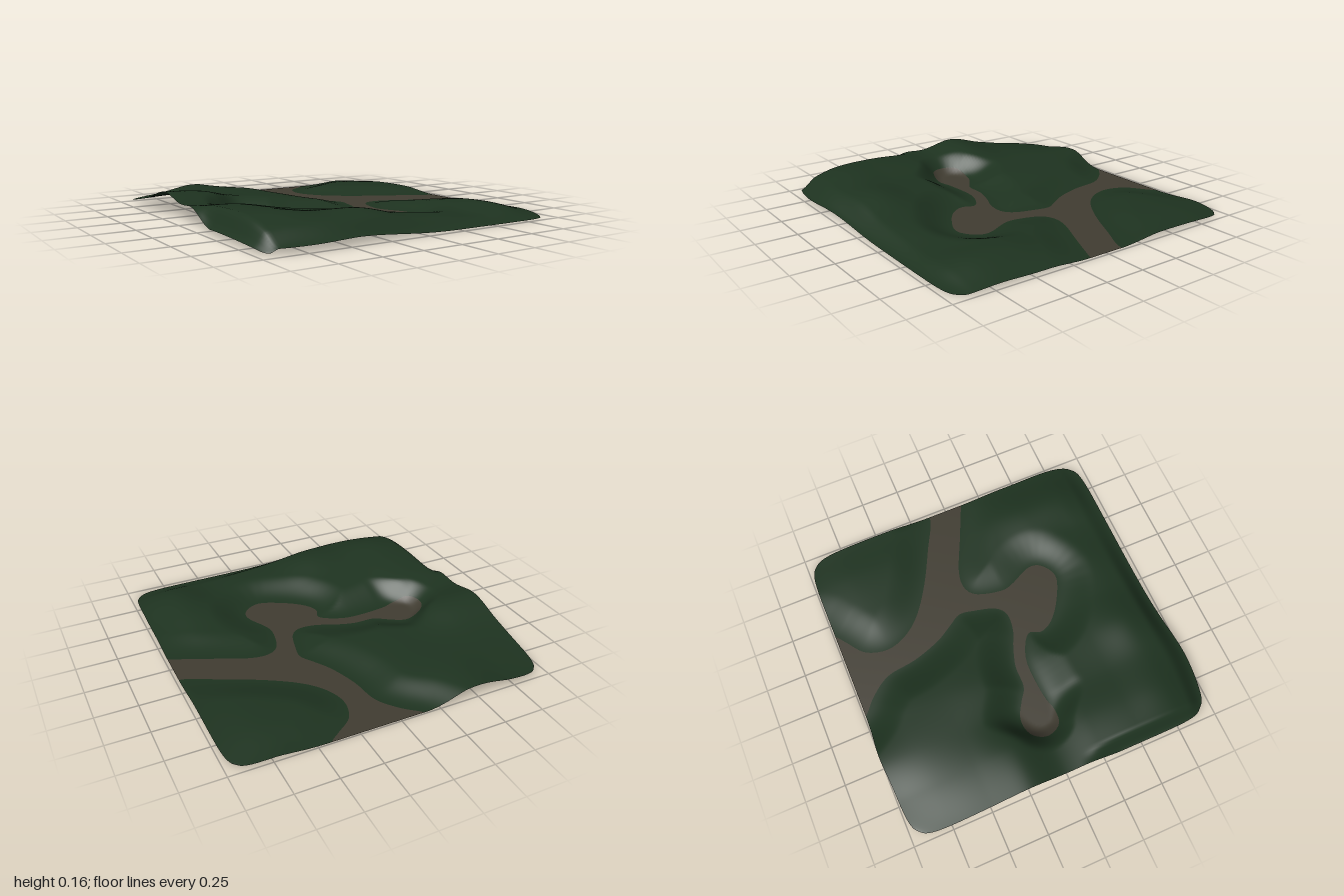
import * as THREE from 'three';
import { mergeVertices } from 'three/addons/utils/BufferGeometryUtils.js';

const GRID = 120;
const { smoothstep, clamp, lerp } = THREE.MathUtils;

// Hill heights in hundredths: rows run back to front, columns from -x to +x
const HILLS = [
  [2, 4, 8, 5, 1, 1, 2, 2, 0.5],
  [5, 7, 8.5, 7, 4, 3, 4, 4, 2],
  [10, 10, 8.5, 7.5, 5, 4, 4, 4, 2.5],
  [16, 14.5, 9, 7.5, 5, 4, 4, 3, 2],
  [12, 10.5, 7.5, 6, 4.5, 4, 3, 2, 1],
  [14, 13.5, 9.5, 7, 5, 4, 4, 4, 1.5],
  [15, 15, 11.5, 9.5, 6.5, 5, 6, 7, 1.5],
  [13, 15, 13.5, 13.5, 8.5, 6.5, 4.5, 7, 2],
  [7, 8, 10, 9, 7, 4.5, 3, 2, 0],
];

// Outline of the forked path with its two round clearings (x, z)
const PATH = [
  [-0.22, -1.1], [-0.15, -0.99], [-0.05, -0.9], [0.04, -0.77], [0.07, -0.58], [0.13, -0.4],
  [0.2, -0.28], [0.245, -0.2], [0.23, -0.1], [0.19, 0.03], [0.12, 0.085], [0.005, 0.075],
  [-0.1, 0.03], [-0.23, -0.01], [-0.365, -0.015], [-0.445, -0.065], [-0.55, -0.12],
  [-0.667, -0.105], [-0.72, -0.015], [-0.68, 0.08], [-0.577, 0.1], [-0.47, 0.075],
  [-0.26, 0.065], [-0.14, 0.095], [-0.05, 0.16], [-0.075, 0.24], [-0.03, 0.33],
  [0.085, 0.42], [0.24, 0.487], [0.35, 0.43], [0.37, 0.34], [0.31, 0.21], [0.29, 0.12],
  [0.33, -0.04], [0.41, -0.1], [0.535, -0.085], [0.745, 0.01], [0.98, 0.115], [1.1, 0.17],
  [1.1, -0.18], [0.975, -0.115], [0.77, -0.21], [0.535, -0.33], [0.35, -0.455],
  [0.245, -0.58], [0.205, -0.715], [0.245, -0.85], [0.35, -0.935], [0.42, -0.99], [0.5, -1.1],
];

// Smooth interpolation through a row of evenly spaced values, t in -1..1
function sampleRow(row, t) {
  const f = clamp((t + 1) / 2, 0, 1) * (row.length - 1);
  const i = Math.min(Math.floor(f), row.length - 2), s = f - i;
  const b = row[i], c = row[i + 1];
  const a = row[i - 1] ?? b, d = row[i + 2] ?? c;
  return b + 0.5 * s * (c - a + s * (2 * a - 5 * b + 4 * c - d + s * (3 * (b - c) + d - a)));
}

// Signed distance to the path outline, negative on the path
function pathDistance(outline, x, z) {
  let best = Infinity, inside = false;
  for (let i = 0, j = outline.length - 1; i < outline.length; j = i++) {
    const a = outline[j], b = outline[i];
    const dx = b.x - a.x, dz = b.y - a.y;
    const t = clamp(((x - a.x) * dx + (z - a.y) * dz) / (dx * dx + dz * dz || 1), 0, 1);
    best = Math.min(best, Math.hypot(x - a.x - t * dx, z - a.y - t * dz));
    if ((a.y > z) !== (b.y > z) && x < a.x + ((z - a.y) / dz) * dx) inside = !inside;
  }
  return inside ? -best : best;
}

// One ground point from sheet coordinates u, v in -1..1
function groundPoint(outline, u, v) {
  const round = 1 - 0.05 * Math.pow(Math.abs(u * v), 12);
  let x = 0.98 * u * round;
  let z = (0.98 * v - 0.01) * round;
  // wavy front and back rims
  z += 0.03 * smoothstep(v, 0.7, 1) * Math.exp(-(((x + 0.6) / 0.25) ** 2));
  z -= 0.01 * smoothstep(-v, 0.7, 1) * Math.exp(-(((x + 0.43) / 0.15) ** 2));
  const d = pathDistance(outline, x, z);
  let y = 0.01 * sampleRow(HILLS.map((row) => sampleRow(row, u)), v);
  // banks rise gently from the level path, steeper around its raised closed end
  const steep = smoothstep(-x, 0.48, 0.7);
  y *= smoothstep(d, lerp(0, -0.08, steep), lerp(0.24, 0.1, steep));
  // the left and front rims curl down
  y *= 1 - 0.75 * smoothstep(-u, 0.92, 1) * smoothstep(v, 0.1, 0.4);
  y *= 1 - lerp(0.55, 0.9, smoothstep(u, -0.5, 0.2)) * smoothstep(v, 0.87, 1);
  return { x, y: Math.max(0, y), z, d };
}

// The part of a triangle where sign * d >= 0
function clip(tri, sign) {
  const out = [];
  tri.forEach((a, i) => {
    const b = tri[(i + 1) % 3];
    if (a.d * sign >= 0) out.push(a);
    if (a.d * b.d < 0) {
      // cut in a fixed order so neighbouring cuts meet exactly
      const [p, q] = a.d < b.d ? [a, b] : [b, a];
      const t = p.d / (p.d - q.d);
      out.push({ x: lerp(p.x, q.x, t), y: lerp(p.y, q.y, t), z: lerp(p.z, q.z, t), d: 0 });
    }
  });
  return out;
}

export function createModel() {
  const grass = new THREE.MeshStandardMaterial({ color: 0x1e3320, side: THREE.DoubleSide });
  grass.name = 'grass green';
  const dirt = new THREE.MeshStandardMaterial({ color: 0x413d32, side: THREE.DoubleSide });
  dirt.name = 'dirt brown';

  const curve = new THREE.SplineCurve([...PATH, PATH[0]].map(([x, z]) => new THREE.Vector2(x, z)));
  const outline = curve.getPoints(200).slice(0, -1);

  const points = [];
  for (let j = 0; j <= GRID; j++) {
    for (let i = 0; i <= GRID; i++) {
      points.push(groundPoint(outline, (2 * i) / GRID - 1, (2 * j) / GRID - 1));
    }
  }

  // Split every cell along the path outline into grass and dirt faces
  const faces = { grass: [], dirt: [] };
  const addFan = (list, poly) => {
    for (let k = 1; k < poly.length - 1; k++) {
      for (const p of [poly[0], poly[k], poly[k + 1]]) list.push(p.x, p.y, p.z);
    }
  };
  for (let j = 0; j < GRID; j++) {
    for (let i = 0; i < GRID; i++) {
      const k = j * (GRID + 1) + i;
      const a = points[k], b = points[k + GRID + 1], c = points[k + GRID + 2], d = points[k + 1];
      for (const tri of [[a, b, c], [a, c, d]]) {
        addFan(faces.grass, clip(tri, 1));
        addFan(faces.dirt, clip(tri, -1));
      }
    }
  }

  // One smooth sheet, with a material group for each surface
  let sheet = new THREE.BufferGeometry();
  sheet.setAttribute('position',
    new THREE.Float32BufferAttribute(faces.grass.concat(faces.dirt), 3));
  sheet = mergeVertices(sheet, 1e-5);
  sheet.addGroup(0, faces.grass.length / 3, 0);
  sheet.addGroup(faces.grass.length / 3, faces.dirt.length / 3, 1);
  sheet.computeVertexNormals();

  const ground = new THREE.Mesh(sheet, [grass, dirt]);
  ground.name = 'hillyGroundWithPath';
  const model = new THREE.Group();
  model.name = 'terrain';
  model.add(ground);
  return model;
}
